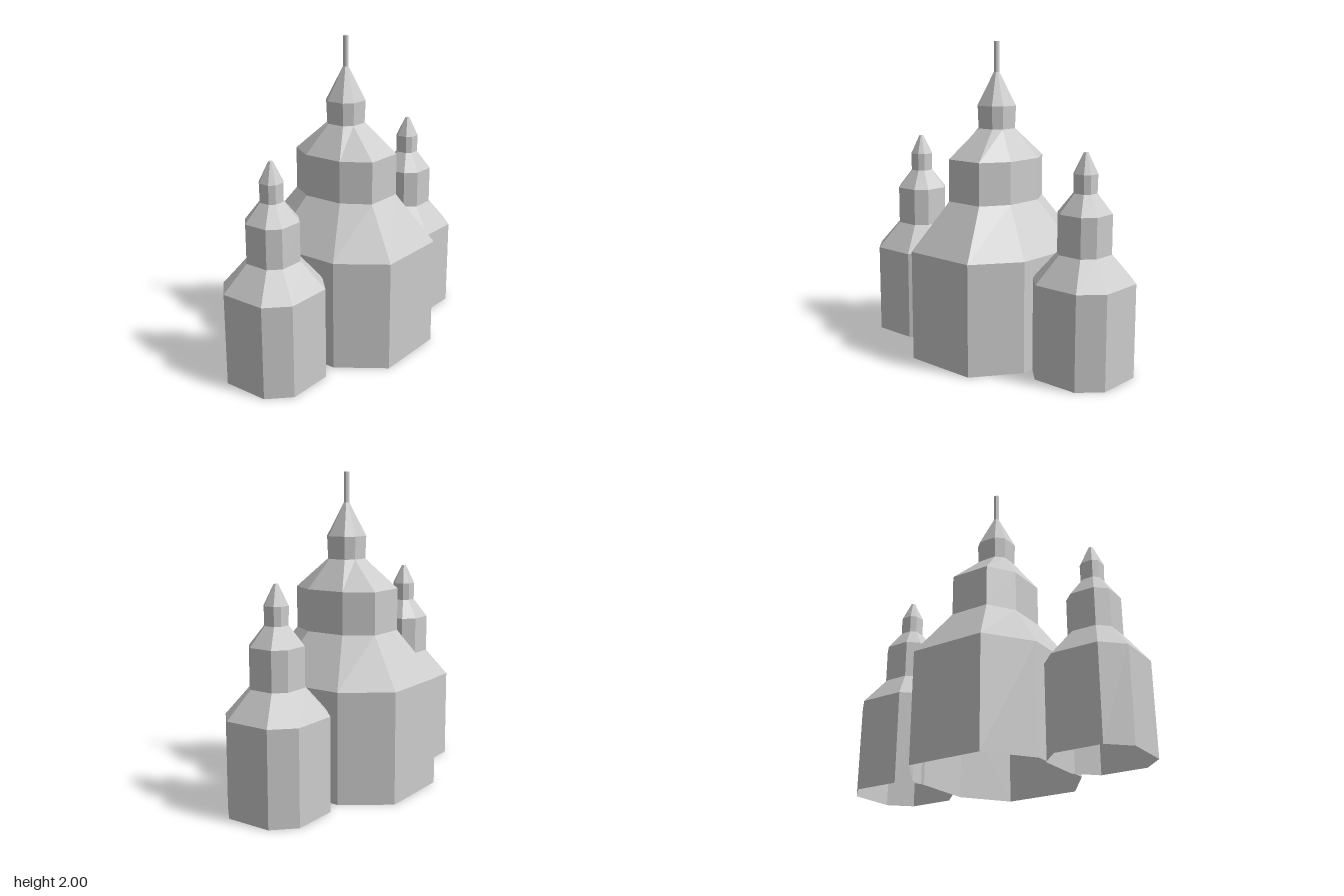
import * as THREE from 'three';

const material = new THREE.MeshStandardMaterial({
  color: 0xcccccc, flatShading: true, side: THREE.DoubleSide,
});

// Chamfered eight-sided ring: half sizes hx, hz and half edge lengths ex (front), ez (side)
function ring([y, hx, hz, ex, ez]) {
  return [
    [ex, hz], [hx, ez], [hx, -ez], [ex, -hz],
    [-ex, -hz], [-hx, -ez], [-hx, ez], [-ex, hz],
  ].map(([x, z]) => [x, y, z]);
}

// Walls through a stack of rings, open underneath, closed on top if wanted
function tier(name, sections, capped = false) {
  const rings = sections.map(ring);
  const points = [];
  for (let i = 0; i < rings.length - 1; i++) {
    for (let j = 0; j < 8; j++) {
      const k = (j + 1) % 8;
      const a = rings[i][j], b = rings[i][k], c = rings[i + 1][k], d = rings[i + 1][j];
      points.push(...a, ...b, ...c, ...a, ...c, ...d);
    }
  }
  if (capped) {
    const top = rings[rings.length - 1];
    for (let j = 1; j < 7; j++) points.push(...top[0], ...top[j], ...top[j + 1]);
  }
  const geometry = new THREE.BufferGeometry();
  geometry.setAttribute('position', new THREE.Float32BufferAttribute(points, 3));
  geometry.computeVertexNormals();
  const mesh = new THREE.Mesh(geometry, material);
  mesh.name = name;
  return mesh;
}

// Regular section used by the small towers
const even = (y, h) => [y, h, h, h * 0.54, h * 0.54];

function sideTower(name, x) {
  const tower = new THREE.Group();
  tower.name = name;
  tower.position.x = x;
  tower.add(
    tier('towerBase', [even(0, 0.275), even(0.585, 0.275)]),
    tier('towerLowerRoof', [even(0.585, 0.275), even(0.755, 0.145)]),
    tier('towerDrum', [even(0.755, 0.145), even(1.0, 0.145)]),
    tier('towerUpperRoof', [even(1.0, 0.145), even(1.12, 0.063)]),
    tier('towerLantern', [even(1.12, 0.063), even(1.235, 0.065)]),
    tier('towerTip', [even(1.235, 0.065), even(1.36, 0.012)], true),
  );
  return tower;
}

export function createModel() {
  const model = new THREE.Group();
  model.name = 'domedBuilding';

  // Central tower, deeper than it is wide
  const base = [0.7, 0.445, 0.525, 0.243, 0.243];
  const drum = [1.005, 0.235, 0.302, 0.13, 0.132];
  const drumTop = [1.272, ...drum.slice(1)];
  const neck = [1.457, 0.104, 0.104, 0.058, 0.058];
  const lantern = [1.6, 0.11, 0.11, 0.06, 0.06];
  const spire = [1.81, 0.016, 0.016, 0.008, 0.008];
  const center = new THREE.Group();
  center.name = 'centralTower';
  center.add(
    tier('mainHall', [[0, ...base.slice(1)], base]),
    tier('lowerRoof', [base, drum]),
    tier('drum', [drum, drumTop]),
    tier('upperRoof', [drumTop, neck]),
    tier('lantern', [neck, lantern]),
    tier('spireRoof', [lantern, spire]),
    tier('finial', [spire, [2, ...spire.slice(1)]], true),
  );

  model.add(center, sideTower('leftTower', 0.707), sideTower('rightTower', -0.707));
  return model;
}
